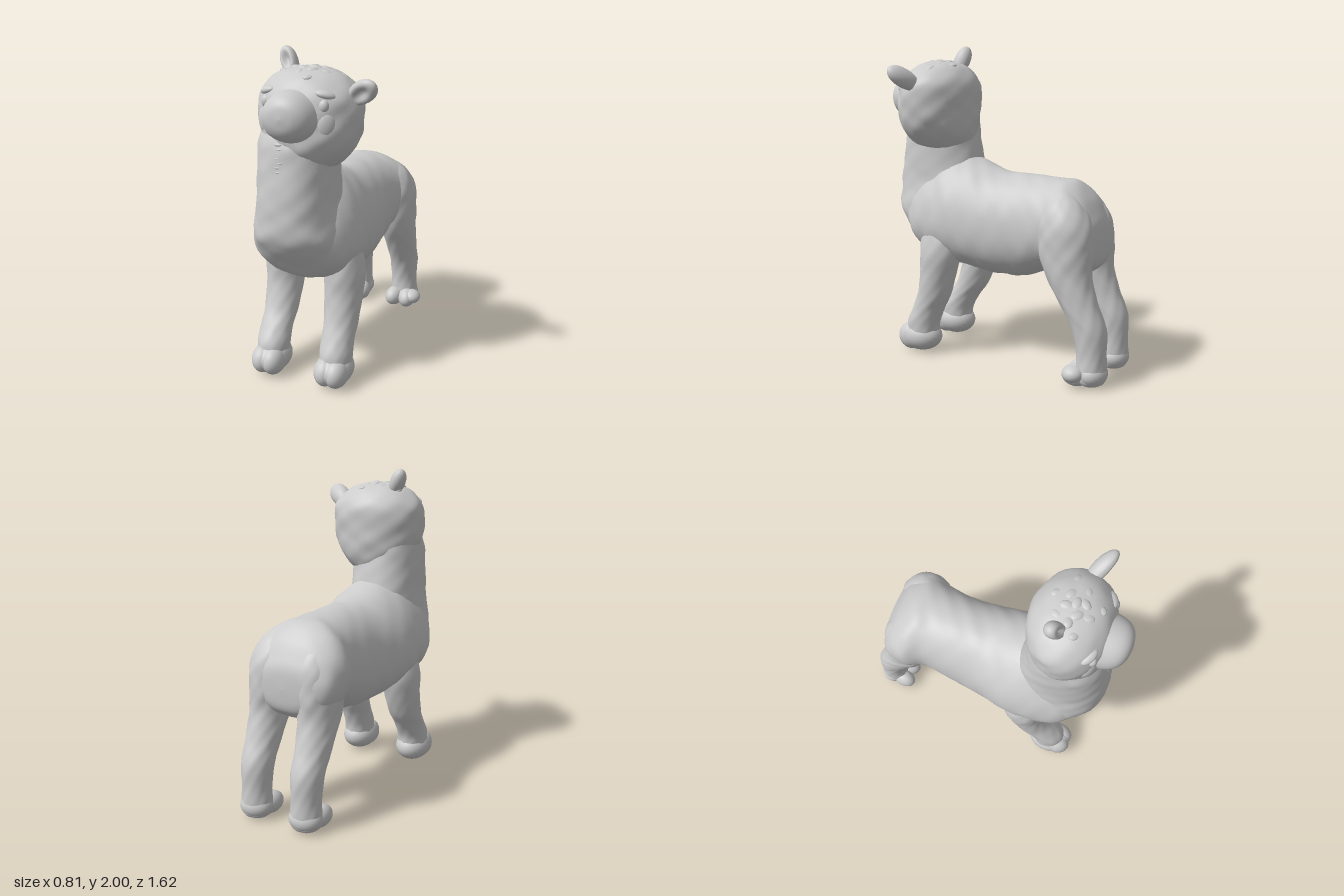
import * as THREE from 'three';

const material = new THREE.MeshStandardMaterial({ color: 0xcccccc, roughness: 0.8 });

// Smooth closed loft. Rows ascend along the axis: [t, centreP, centreQ, radiusP, radiusQ, pear].
// Axis 'y' uses p = z, q = x; axis 'z' uses p = x, q = y. Pear widens the section towards -q.
function loft(name, axis, rows, { power = 2, bump = 0.004, steps = 6, sides = 44 } = {}) {
  const curve = (points) => new THREE.CatmullRomCurve3(points, false, 'catmullrom', 0.5);
  const centres = curve(rows.map(([t, p, q]) => new THREE.Vector3(p, q, t)));
  const radii = curve(rows.map((r) => new THREE.Vector3(r[3], r[4], r[5] ?? 0)));
  const count = (rows.length - 1) * steps;
  const positions = [], index = [];
  const round = (v) => Math.sign(v) * Math.pow(Math.abs(v), 2 / power);
  for (let i = 0; i <= count; i++) {
    const c = centres.getPoint(i / count), r = radii.getPoint(i / count);
    const open = i > 0 && i < count ? 1 : 0; // both ends close to a point
    for (let j = 0; j < sides; j++) {
      const a = (j / sides) * Math.PI * 2;
      // gentle hand-modelled unevenness
      const b = open * (1 + bump * 2 * (Math.sin(5 * a + 1) * Math.sin(c.z * 31) + Math.sin(9 * a) * Math.sin(c.z * 47 + 1)));
      const p = c.x + Math.max(r.x, 0.001) * round(Math.cos(a)) * b * (1 - r.z * Math.sin(a));
      const q = c.y + Math.max(r.y, 0.001) * round(Math.sin(a)) * b;
      if (axis === 'y') positions.push(q, c.z, p);
      else positions.push(p, q, c.z);
      if (i < count) {
        const k = i * sides + j, n = i * sides + ((j + 1) % sides);
        index.push(k, n, n + sides, k, n + sides, k + sides);
      }
    }
  }
  const geometry = new THREE.BufferGeometry();
  geometry.setAttribute('position', new THREE.Float32BufferAttribute(positions, 3));
  geometry.setIndex(index);
  geometry.computeVertexNormals();
  const mesh = new THREE.Mesh(geometry, material);
  mesh.name = name;
  return mesh;
}

function blob(name, position, scale, rotation = [0, 0, 0]) {
  const mesh = new THREE.Mesh(new THREE.SphereGeometry(1, 28, 18), material);
  mesh.name = name;
  mesh.position.set(...position);
  mesh.scale.set(...scale);
  mesh.rotation.set(...rotation);
  return mesh;
}

// Cupped ear running from base to tip, with its hollow towards the front
function ear(name, base, tip, width, depth) {
  const geometry = new THREE.SphereGeometry(1, 28, 20);
  const pos = geometry.attributes.position;
  const from = new THREE.Vector3(...base), to = new THREE.Vector3(...tip);
  const length = from.distanceTo(to);
  for (let i = 0; i < pos.count; i++) {
    const x = pos.getX(i), y = pos.getY(i), z = pos.getZ(i);
    const taper = 0.85 + 0.15 * y;
    const hollow = z > 0 ? 0.8 * z * Math.exp(-4 * (x * x + (y - 0.2) ** 2)) : 0;
    pos.setXYZ(i, x * width * taper, (y + 1) * length / 2, (z - hollow) * depth);
  }
  geometry.computeVertexNormals();
  const mesh = new THREE.Mesh(geometry, material);
  mesh.name = name;
  mesh.position.copy(from);
  mesh.quaternion.setFromUnitVectors(new THREE.Vector3(0, 1, 0), to.sub(from).normalize());
  return mesh;
}

// Front leg with a rounded, faintly cleft foot; lean moves its upper part backwards
function frontLeg(name, x, lean) {
  const leg = new THREE.Group();
  leg.name = name;
  leg.add(loft(name + 'Limb', 'y', [
    [0.05, 0.51, x, 0.03, 0.03],
    [0.1, 0.51, x, 0.1, 0.09],
    [0.2, 0.505, x, 0.112, 0.1],
    [0.3, 0.465 - lean * 0.3, x, 0.108, 0.1],
    [0.4, 0.42 - lean * 0.7, x, 0.112, 0.107],
    [0.55, 0.385 - lean, x, 0.12, 0.118],
    [0.7, 0.365 - lean, x, 0.138, 0.122],
    [0.85, 0.37 - lean, x * 0.95, 0.11, 0.09],
    [0.96, 0.38 - lean, x * 0.9, 0.02, 0.02],
  ], { bump: 0.006 }));
  leg.add(blob(name + 'Foot', [x, 0.105, 0.525], [0.114, 0.1, 0.145]));
  for (const side of [-1, 1]) {
    leg.add(blob(name + 'Toe', [x + side * 0.034, 0.1, 0.58], [0.072, 0.09, 0.096]));
  }
  return leg;
}

// Hind leg from the haunch down to the foot
function hindLeg(name, s, x) {
  const leg = new THREE.Group();
  leg.name = name;
  leg.add(loft(name + 'Limb', 'y', [
    [0.005, -0.71, x, 0.05, 0.05],
    [0.05, -0.71, x, 0.092, 0.094],
    [0.2, -0.71, x, 0.09, 0.09],
    [0.35, -0.69, x, 0.107, 0.098],
    [0.5, -0.62, x, 0.118, 0.107],
    [0.65, -0.555, x - s * 0.005, 0.142, 0.122],
    [0.8, -0.53, x - s * 0.015, 0.17, 0.137],
    [0.95, -0.52, x - s * 0.025, 0.162, 0.142],
    [1.07, -0.5, x - s * 0.04, 0.11, 0.105],
    [1.15, -0.49, x - s * 0.05, 0.02, 0.02],
  ], { bump: 0.008 }));
  leg.add(blob(name + 'Heel', [x, 0.08, -0.72], [0.104, 0.078, 0.09]));
  for (const side of [-1, 1]) {
    leg.add(blob(name + 'Toe', [x + side * 0.045, 0.07, -0.635], [0.06, 0.068, 0.088], [0, side * 0.2, 0]));
  }
  return leg;
}

export function createModel() {
  const model = new THREE.Group();
  model.name = 'standingAnimal';

  // Torso from rump to chest, pear-shaped at the shoulders
  model.add(loft('torso', 'z', [
    [-0.7, -0.015, 0.83, 0.02, 0.02],
    [-0.69, -0.015, 0.83, 0.17, 0.11],
    [-0.66, -0.02, 0.84, 0.245, 0.17],
    [-0.6, -0.025, 0.87, 0.288, 0.235],
    [-0.5, -0.03, 0.91, 0.305, 0.277, 0.03],
    [-0.38, -0.03, 0.92, 0.265, 0.28, 0.05],
    [-0.2, -0.045, 0.89, 0.263, 0.32, 0.08],
    [0, -0.05, 0.89, 0.285, 0.33, 0.13],
    [0.2, -0.065, 0.937, 0.315, 0.352, 0.2],
    [0.35, -0.07, 0.97, 0.315, 0.35, 0.26],
    [0.5, -0.075, 0.96, 0.295, 0.3, 0.26],
    [0.6, -0.08, 0.96, 0.245, 0.22, 0.2],
    [0.68, -0.08, 0.99, 0.16, 0.13],
    [0.71, -0.08, 1.0, 0.02, 0.02],
  ], { power: 2.15 }));

  // Neck
  model.add(loft('neck', 'y', [
    [0.65, 0.44, -0.06, 0.04, 0.04],
    [0.7, 0.44, -0.06, 0.14, 0.17],
    [0.8, 0.43, -0.075, 0.23, 0.265],
    [0.9, 0.45, -0.08, 0.282, 0.28],
    [0.98, 0.465, -0.08, 0.305, 0.27],
    [1.08, 0.475, -0.083, 0.297, 0.245],
    [1.2, 0.48, -0.083, 0.285, 0.23],
    [1.4, 0.485, -0.085, 0.247, 0.224],
    [1.52, 0.48, -0.085, 0.228, 0.215],
    [1.62, 0.45, -0.07, 0.19, 0.19],
    [1.7, 0.45, -0.06, 0.02, 0.02],
  ], { power: 2.25 }));

  // Seam of small ridges down the front of the neck
  for (let i = 0; i < 24; i++) {
    const y = 0.94 + i * 0.025;
    const z = y < 1 ? 0.745 + (y - 0.94) * 0.3 : 0.765 - Math.max(0, y - 1.15) * 0.14;
    model.add(blob('neckSeam', [-0.095 + 0.008 * Math.sin(i * 2.4), y, z - 0.009], [0.026, 0.009, 0.012]));
  }

  // Head
  const head = new THREE.Group();
  head.name = 'head';
  head.add(loft('skull', 'y', [
    [1.325, 0.43, 0, 0.03, 0.03],
    [1.355, 0.44, -0.01, 0.15, 0.14],
    [1.42, 0.455, -0.015, 0.215, 0.22],
    [1.5, 0.465, -0.015, 0.245, 0.275],
    [1.6, 0.465, -0.015, 0.25, 0.302],
    [1.75, 0.455, -0.015, 0.24, 0.302],
    [1.84, 0.455, -0.02, 0.19, 0.235],
    [1.89, 0.455, -0.02, 0.12, 0.145],
    [1.912, 0.455, -0.02, 0.02, 0.02],
  ], { bump: 0.006 }));
  head.add(loft('muzzle', 'z', [
    [0.5, -0.038, 1.67, 0.1, 0.1],
    [0.6, -0.038, 1.67, 0.165, 0.145, 0.06],
    [0.69, -0.038, 1.67, 0.16, 0.143, 0.06],
    [0.76, -0.038, 1.675, 0.132, 0.12, 0.04],
    [0.8, -0.038, 1.68, 0.08, 0.075],
    [0.815, -0.038, 1.68, 0.01, 0.01],
  ], { bump: 0 }));
  for (const s of [-1, 1]) {
    const x = -0.03 + s * 0.175;
    const face = 0.455 + 0.24 * Math.sqrt(1 - ((x + 0.015) / 0.305) ** 2);
    head.add(blob('eye', [x, 1.735, face - 0.012], [0.03, 0.036, 0.026]));
    head.add(blob('brow', [x, 1.79, face - 0.04], [0.06, 0.024, 0.035], [0, s * 0.5, -s * 0.25]));
    head.add(blob('cheek', [x + s * 0.01, 1.63, face - 0.02], [0.06, 0.08, 0.035], [0, s * 0.6, 0]));
  }
  // Woolly tufts across the crown
  for (let i = 0; i < 14; i++) {
    const a = i * 2.4, r = 0.03 + 0.012 * i;
    head.add(blob('crownTuft', [-0.02 + r * Math.cos(a), 1.9 - r * r * 1.3, 0.455 + r * 0.8 * Math.sin(a)],
      [0.042, 0.018, 0.03], [0, a, -r * Math.cos(a) * 2.4]));
  }
  head.add(ear('leftEar', [0.21, 1.735, 0.46], [0.4, 1.855, 0.57], 0.075, 0.052));
  head.add(ear('rightEar', [-0.13, 1.82, 0.42], [-0.215, 2.0, 0.375], 0.056, 0.058));
  model.add(head);

  // Legs
  model.add(frontLeg('leftFrontLeg', 0.148, 0));
  model.add(frontLeg('rightFrontLeg', -0.272, 0.06));
  model.add(hindLeg('leftHindLeg', 1, 0.172));
  model.add(hindLeg('rightHindLeg', -1, -0.177));
  // Outer toe of the left hind foot
  model.add(blob('outerToe', [0.255, 0.085, -0.63], [0.065, 0.05, 0.065]));
  return model;
}
